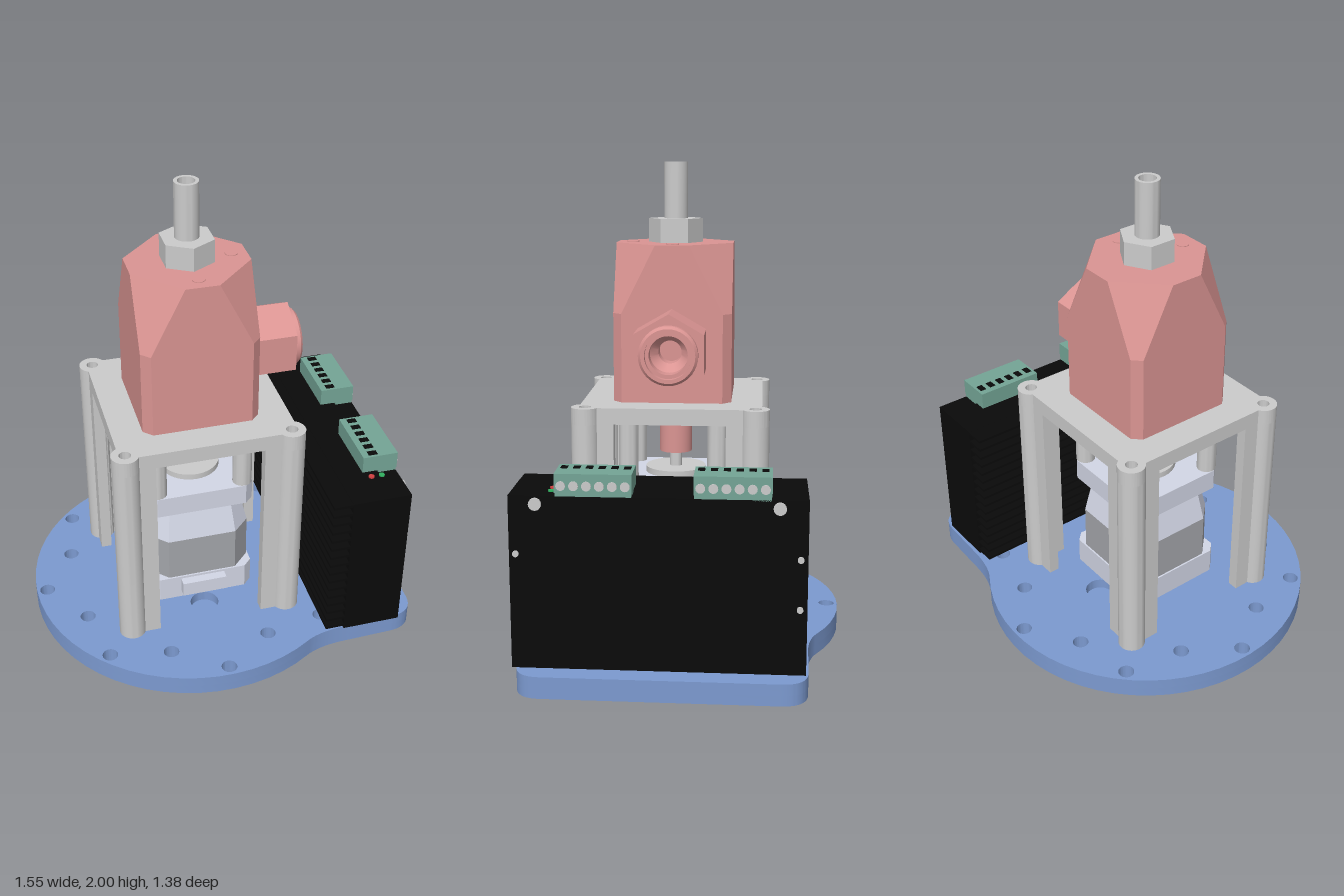
import * as THREE from 'three';
import { toCreasedNormals } from 'three/addons/utils/BufferGeometryUtils.js';

const CX = -0.085; // axis of the motor and valve
const mat = (color) => new THREE.MeshStandardMaterial({ color, side: THREE.DoubleSide });
const GREY = mat(0xcccccc), BLUE = mat(0x7c9ad0), PINK = mat(0xdb9593), BLACK = mat(0x0a0a0a);
const ALLOY = mat(0xd3d7e6), GREEN = mat(0x74a596), RED = mat(0xd04040), LED = mat(0x30b060);

function add(parent, name, geo, material, x = 0, y = 0, z = 0) {
  const m = new THREE.Mesh(geo, material);
  m.name = name;
  m.position.set(x, y, z);
  parent.add(m);
  return m;
}
const box = (p, name, m, x0, x1, y0, y1, z0, z1) =>
  add(p, name, new THREE.BoxGeometry(x1 - x0, y1 - y0, z1 - z0), m, (x0 + x1) / 2, (y0 + y1) / 2, (z0 + z1) / 2);
const cyl = (p, name, m, r, y0, y1, x = 0, z = 0, sides = 32) => {
  const g = toCreasedNormals(new THREE.CylinderGeometry(r, r, y1 - y0, sides), 0.6);
  return add(p, name, g, m, x, (y0 + y1) / 2, z);
};
// Closed lathe from [radius, height] pairs
const lathe = (pts) => toCreasedNormals(
  new THREE.LatheGeometry([...pts, pts[0]].map((p) => new THREE.Vector2(...p)), 40), 0.6);
const tube = (p, name, m, ri, ro, y0, y1, x = 0, z = 0) =>
  add(p, name, lathe([[ri, y0], [ro, y0], [ro, y1], [ri, y1]]), m, x, 0, z);

// Plan outline extruded upward from y0 to y1
function slab(p, name, m, shape, y0, y1, x = 0) {
  const g = new THREE.ExtrudeGeometry(shape, { depth: y1 - y0, bevelEnabled: false, curveSegments: 20 });
  g.rotateX(-Math.PI / 2);
  return add(p, name, toCreasedNormals(g, 0.5), m, x, y0, 0);
}
function hole(shape, x, y, r) {
  shape.holes.push(new THREE.Path().absarc(x, y, r, 0, Math.PI * 2, true));
}

// Stack of chamfered squares given as [y, half width, corner cut]
function chamferedLoft(sections) {
  const pos = [];
  const rings = sections.map(([y, h, c]) => [
    [h, h - c], [h - c, h], [c - h, h], [-h, h - c], [-h, c - h], [c - h, -h], [h - c, -h], [h, c - h],
  ].map(([x, z]) => [x, y, z]));
  for (let k = 0; k + 1 < rings.length; k++) {
    for (let i = 0; i < 8; i++) {
      const j = (i + 1) % 8, a = rings[k], b = rings[k + 1];
      pos.push(...a[i], ...b[i], ...b[j], ...a[i], ...b[j], ...a[j]);
    }
  }
  const lo = rings[0], hi = rings[rings.length - 1];
  for (let i = 1; i < 7; i++) {
    pos.push(...hi[0], ...hi[i + 1], ...hi[i], ...lo[0], ...lo[i], ...lo[i + 1]);
  }
  const g = new THREE.BufferGeometry();
  g.setAttribute('position', new THREE.Float32BufferAttribute(pos, 3));
  g.computeVertexNormals();
  return g;
}

// Round plate with a tab for the driver, in axis-relative coordinates
function plateShape(recessed) {
  const s = new THREE.Shape();
  const a = 1.02, R = 0.69;
  s.absarc(0, 0, R, a, Math.PI * 2 - a, false);
  s.quadraticCurveTo(0.43, -0.55, 0.56, -0.55);
  s.lineTo(0.75, -0.545);
  s.quadraticCurveTo(0.855, -0.54, 0.855, -0.44);
  s.lineTo(0.855, 0.44);
  s.quadraticCurveTo(0.855, 0.54, 0.75, 0.545);
  s.lineTo(0.56, 0.55);
  s.quadraticCurveTo(0.43, 0.55, R * Math.cos(a), R * Math.sin(a));
  for (let i = 0; i < 8; i++) {
    const t = (i * Math.PI) / 4, u = t + Math.PI / 8;
    hole(s, 0.645 * Math.cos(t), 0.645 * Math.sin(t), 0.032);
    hole(s, 0.545 * Math.cos(u), 0.545 * Math.sin(u), 0.032);
  }
  for (const x of [-1, 1]) for (const z of [-1, 1]) hole(s, 0.335 * x, 0.335 * z, 0.022);
  if (recessed) for (const z of [-0.25, 0.25]) hole(s, 0, z, 0.06);
  return s;
}

function buildBase(g) {
  slab(g, 'basePlateLower', BLUE, plateShape(false), 0.06, 0.1, CX);
  slab(g, 'basePlateUpper', BLUE, plateShape(true), 0.1, 0.145, CX);
  // Locating ring underneath, flattened on the driver side
  const pts = [];
  for (let i = 0; i < 72; i++) {
    const t = (i * Math.PI) / 36;
    pts.push(new THREE.Vector2(Math.min(0.455, 0.485 * Math.cos(t)), 0.485 * Math.sin(t)));
  }
  const ring = new THREE.Shape(pts);
  hole(ring, 0, 0, 0.425);
  slab(g, 'locatingRing', BLUE, ring, 0, 0.06, CX);
  cyl(g, 'ringBoss', BLUE, 0.035, 0, 0.06, CX + 0.315, -0.315);
}

function buildFrame(g) {
  const f = new THREE.Group();
  f.name = 'frame';
  f.position.x = CX;
  g.add(f);
  const top = new THREE.Shape(), w = Math.acos(0.025 / 0.055);
  for (let i = 0; i < 4; i++) {
    const t = (i * Math.PI) / 2, d = t + Math.PI / 4, r = 0.335 * Math.SQRT2;
    top.absarc(r * Math.cos(d), r * Math.sin(d), 0.055, t - w, t + Math.PI / 2 + w, false);
    hole(top, r * Math.cos(d), r * Math.sin(d), 0.024);
  }
  slab(f, 'frameTop', GREY, top, 0.99, 1.055);
  // Corner posts: a tube with two flat wings, plus the motor standoffs
  const wing = new THREE.Shape([[0.36, 0.36], [0.22, 0.36], [0.22, 0.315], [0.295, 0.315], [0.295, 0.295],
    [0.315, 0.295], [0.315, 0.22], [0.36, 0.22]].map((p) => new THREE.Vector2(...p)));
  hole(wing, 0.335, 0.335, 0.022);
  for (let i = 0; i < 4; i++) {
    const post = new THREE.Group();
    post.name = 'post';
    post.rotation.y = (i * Math.PI) / 2;
    f.add(post);
    slab(post, 'postWings', GREY, wing, 0.145, 0.99);
    tube(post, 'postTube', GREY, 0.024, 0.055, 0.145, 0.99, 0.335, -0.335);
    cyl(post, 'standoff', GREY, 0.04, 0.72, 0.99, 0.18, 0.18, 24);
  }
}

function buildMotor(g) {
  const m = new THREE.Group();
  m.name = 'motor';
  m.position.x = CX;
  g.add(m);
  add(m, 'motorBottomCap', chamferedLoft([[0.175, 0.222, 0.035], [0.285, 0.222, 0.035]]), ALLOY);
  add(m, 'motorStack', chamferedLoft([[0.285, 0.215, 0.07], [0.48, 0.215, 0.07]]), mat(0xa4a6ab));
  add(m, 'motorTaper', chamferedLoft([[0.48, 0.215, 0.07], [0.63, 0.18, 0.05]]), ALLOY);
  add(m, 'motorTopCap', chamferedLoft([[0.63, 0.222, 0.035], [0.72, 0.222, 0.035]]), ALLOY);
  box(m, 'motorConnector', ALLOY, -0.095, 0.095, 0.21, 0.275, 0.2, 0.26);
  cyl(m, 'motorPilot', GREY, 0.125, 0.72, 0.745);
  cyl(m, 'motorShaft', GREY, 0.026, 0.745, 0.83);
  cyl(m, 'coupling', PINK, 0.067, 0.81, 1.055);
}

function buildValve(g) {
  const v = new THREE.Group();
  v.name = 'valve';
  v.position.x = CX;
  g.add(v);
  add(v, 'valveBody', chamferedLoft([[1.055, 0.236, 0.035], [1.41, 0.236, 0.035], [1.68, 0.236, 0.17]]), PINK);
  cyl(v, 'topPlug', PINK, 0.025, 1.67, 1.683, 0.175, 0);
  cyl(v, 'topPlug', PINK, 0.025, 1.67, 1.683, 0, 0.175);
  cyl(v, 'hexNut', GREY, 0.11, 1.68, 1.775, 0, 0, 6);
  add(v, 'outletTube', lathe([[0.034, 1.79], [0.034, 2], [0.048, 2], [0.048, 1.775], [0, 1.775], [0, 1.79]]), GREY);
  // Side port, built upright and laid along +x
  const port = new THREE.Group();
  port.name = 'sidePort';
  port.position.set(0.236, 1.275, 0);
  port.rotation.z = -Math.PI / 2;
  v.add(port);
  const hex = new THREE.Shape();
  for (let i = 0; i < 6; i++) {
    const t = (i * Math.PI) / 3;
    hex[i ? 'lineTo' : 'moveTo'](0.157 * Math.cos(t), 0.157 * Math.sin(t));
  }
  hole(hex, 0, 0, 0.08);
  slab(port, 'portHex', PINK, hex, -0.01, 0.175);
  add(port, 'portCollar', lathe([[0.09, 0.15], [0.115, 0.15], [0.115, 0.2], [0.105, 0.21], [0.09, 0.21]]), PINK);
  add(port, 'portBore', lathe([[0, 0.03], [0.045, 0.03], [0.045, 0.09], [0.075, 0.13],
    [0.075, 0.185], [0.092, 0.185], [0.092, 0.02], [0, 0.02]]), PINK);
}

function buildDriver(g) {
  const d = new THREE.Group();
  d.name = 'motorDriver';
  g.add(d);
  box(d, 'driverCase', BLACK, 0.44, 0.685, 0.145, 0.81, -0.535, 0.56);
  // Heat sink fins
  for (let i = 0; i < 16; i++) {
    const y = 0.165 + i * 0.0425;
    box(d, 'fin', BLACK, 0.36, 0.445, y - 0.006, y + 0.006, -0.535, 0.56);
  }
  // Case screws on the outer face
  for (const [y, z, r] of [[0.78, 0.46, 0.024], [0.78, -0.43, 0.024], [0.59, 0.535, 0.012],
    [0.59, -0.508, 0.012], [0.4, -0.508, 0.012]]) {
    const s = cyl(d, 'caseScrew', GREY, r, -0.006, 0.006, 0, 0, 16);
    s.rotation.z = Math.PI / 2;
    s.position.set(0.688, y, z);
  }
  // Two plug-in terminal blocks with wire slots and clamp screws
  for (const zc of [-0.26, 0.247]) {
    box(d, 'terminalFoot', GREEN, 0.61, 0.685, 0.805, 0.83, zc - 0.14, zc + 0.14);
    box(d, 'terminalBlock', GREEN, 0.54, 0.687, 0.823, 0.895, zc - 0.142, zc + 0.142);
    for (let i = 0; i < 6; i++) {
      const z = zc + (i - 2.5) * 0.047;
      box(d, 'wireSlot', BLACK, 0.567, 0.605, 0.88, 0.897, z - 0.013, z + 0.013);
      const s = cyl(d, 'clampScrew', GREY, 0.018, -0.003, 0.003, 0, 0, 16);
      s.rotation.z = Math.PI / 2;
      s.position.set(0.688, 0.85, z);
    }
  }
  cyl(d, 'redLight', RED, 0.012, 0.8, 0.816, 0.572, 0.41, 16);
  cyl(d, 'greenLight', LED, 0.012, 0.8, 0.816, 0.616, 0.41, 16);
}

export function createModel() {
  const g = new THREE.Group();
  g.name = 'motorisedValve';
  for (const build of [buildBase, buildFrame, buildMotor, buildValve, buildDriver]) build(g);
  return g;
}
